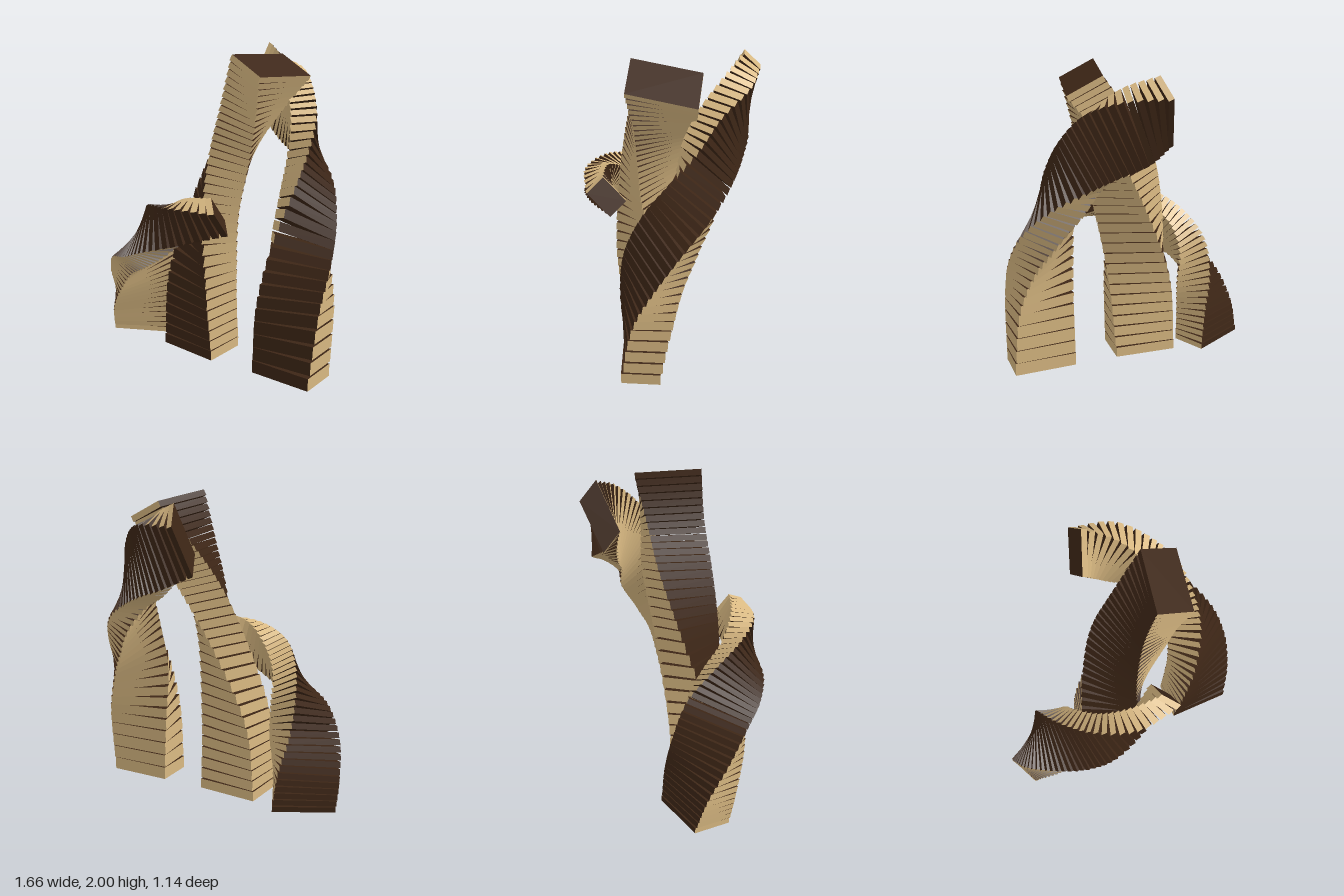
import * as THREE from 'three';

const tan = new THREE.MeshStandardMaterial({ color: 0xd9b982, flatShading: true });
const brown = new THREE.MeshStandardMaterial({ color: 0x3d2616, flatShading: true });
// slab sides in box order: +x, -x, +y, -y, +z, -z (outer side and both caps are dark)
const slabMaterials = [tan, tan, brown, brown, brown, tan];

const rail = (points) => new THREE.CatmullRomCurve3(points.map((p) => new THREE.Vector3(...p)));

// A twisting stack of slabs guided by three corner rails:
// outer edge start, outer edge end, and the inner corner behind the start.
function slabStack(name, count, startPts, endPts, innerPts) {
  const stack = new THREE.Group();
  stack.name = name;
  const start = rail(startPts), end = rail(endPts), inner = rail(innerPts);
  const centre = (t) => end.getPoint(t).add(inner.getPoint(t)).multiplyScalar(0.5);

  for (let i = 0; i < count; i++) {
    const t = i / (count - 1);
    const a = start.getPoint(t);
    const width = end.getPoint(t).sub(a);
    const depth = a.clone().sub(inner.getPoint(t));
    const bottom = centre(i / count);
    const rise = centre((i + 0.9) / count).sub(bottom);
    // keep the foot slab upright so it stands flat
    if (i === 0) rise.set(0, rise.y, 0);

    const frame = new THREE.Matrix4().makeBasis(width, rise, depth);
    frame.setPosition(bottom.addScaledVector(rise, 0.5));
    const slab = new THREE.Mesh(new THREE.BoxGeometry(1, 1, 1).applyMatrix4(frame), slabMaterials);
    slab.name = `${name}Slab${i + 1}`;
    stack.add(slab);
  }
  return stack;
}

export function createModel() {
  const model = new THREE.Group();
  model.name = 'twistedSlabTowers';

  // Tall centre tower, a quarter twist while leaning to +x
  model.add(slabStack('centreTower', 34,
    [[-0.3, 0, 0.27], [-0.3, 0.5, 0.22], [-0.22, 1.05, 0.04], [-0.1, 1.45, -0.1], [0.06, 1.7, -0.17], [0.26, 1.96, -0.25]],
    [[0.11, 0, 0.27], [0.1, 0.5, 0.31], [0.06, 1.0, 0.29], [0.08, 1.4, 0.24], [0.13, 1.7, 0.19], [0.2, 2.0, 0.17]],
    [[-0.3, 0, -0.01], [-0.26, 0.5, -0.04], [-0.07, 1.02, -0.13], [0.12, 1.39, -0.21], [0.29, 1.62, -0.22], [0.48, 1.85, -0.24]]));

  // Tower on the +x side, arching up and round behind the centre
  model.add(slabStack('rearArchTower', 38,
    [[0.41, 0, 0.22], [0.45, 0.45, 0.24], [0.52, 0.85, 0.19], [0.58, 1.2, 0.05], [0.575, 1.4, -0.09],
      [0.52, 1.6, -0.25], [0.4, 1.76, -0.37], [0.2, 1.85, -0.52], [-0.07, 1.86, -0.57]],
    [[0.82, 0, 0.19], [0.83, 0.47, 0.11], [0.82, 0.77, -0.02], [0.75, 1.0, -0.17], [0.6, 1.19, -0.34],
      [0.4, 1.32, -0.45], [0.24, 1.4, -0.5], [0.05, 1.47, -0.52], [-0.12, 1.55, -0.43]],
    [[0.4, 0, -0.03], [0.4, 0.42, 0.0], [0.39, 0.8, 0.02], [0.4, 1.12, -0.05], [0.405, 1.34, -0.11],
      [0.4, 1.59, -0.15], [0.31, 1.75, -0.23], [0.17, 1.9, -0.36], [-0.02, 1.98, -0.47]]));

  // Low tower on the -x side, arching round in front of the centre
  model.add(slabStack('frontArchTower', 38,
    [[-0.48, 0, -0.08], [-0.51, 0.25, -0.06], [-0.56, 0.5, -0.01], [-0.55, 0.75, 0.08],
      [-0.45, 0.92, 0.25], [-0.28, 1.03, 0.41], [0.0, 1.09, 0.51], [0.3, 1.1, 0.45]],
    [[-0.83, 0, 0.13], [-0.82, 0.2, 0.2], [-0.75, 0.42, 0.33], [-0.6, 0.6, 0.45],
      [-0.4, 0.68, 0.54], [-0.2, 0.77, 0.57], [0.05, 0.85, 0.48], [0.29, 0.92, 0.31]],
    [[-0.37, 0, 0.13], [-0.37, 0.22, 0.12], [-0.36, 0.44, 0.09], [-0.37, 0.67, 0.08],
      [-0.33, 0.85, 0.17], [-0.2, 0.98, 0.29], [-0.02, 1.11, 0.36], [0.2, 1.16, 0.36]]));

  return model;
}
